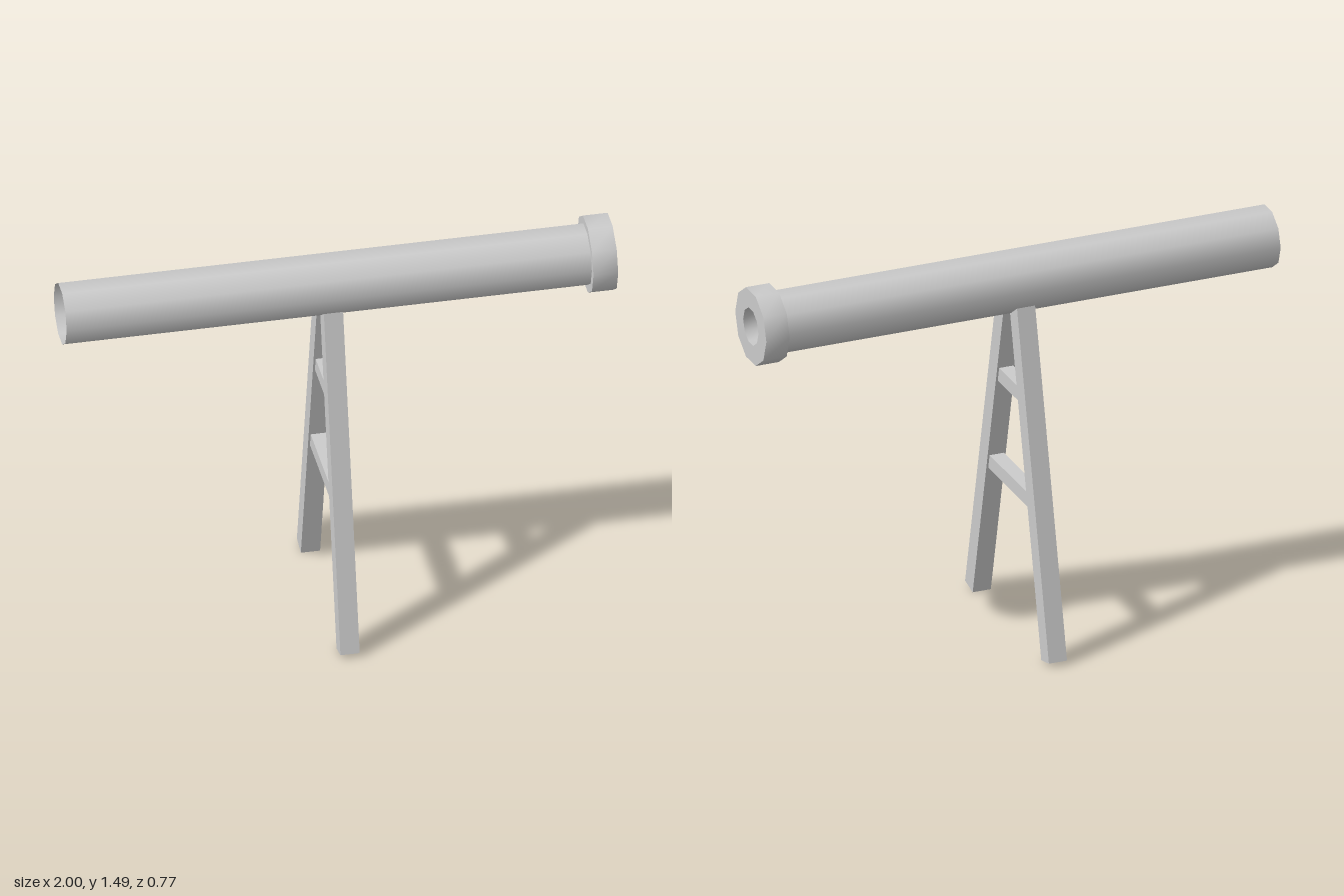
import * as THREE from 'three';
import { toCreasedNormals } from 'three/addons/utils/BufferGeometryUtils.js';

const SIDES = 10;
const AXIS_Y = 1.351;   // height of the tube axis
const STAND_X = -0.025; // centre of the stand

export function createModel() {
  const group = new THREE.Group();
  const solid = new THREE.MeshStandardMaterial({ color: 0xcccccc });
  const thin = new THREE.MeshStandardMaterial({ color: 0xcccccc, side: THREE.DoubleSide });

  const add = (name, geometry, material, x, y, z) => {
    const mesh = new THREE.Mesh(geometry, material);
    mesh.name = name;
    mesh.position.set(x, y, z);
    group.add(mesh);
    return mesh;
  };

  // Open, smooth-shaded tube lying along x
  const tube = new THREE.CylinderGeometry(0.114, 0.114, 1.91, SIDES, 1, true);
  add('tube', tube.rotateZ(-Math.PI / 2), thin, -0.045, AXIS_Y, 0);

  // Thick ring at the +x end, with a narrower hole
  const profile = [[0.07, 0.91], [0.143, 0.91], [0.143, 1], [0.07, 1], [0.07, 0.91]]
    .map(([r, h]) => new THREE.Vector2(r, h));
  const ring = toCreasedNormals(new THREE.LatheGeometry(profile, SIDES), 0.8);
  add('endRing', ring.rotateZ(-Math.PI / 2), solid, 0, AXIS_Y, 0);

  // Two legs leaning together, their tops reaching inside the tube
  const foot = new THREE.Vector2(0.35, 0.008), top = new THREE.Vector2(0.045, 1.328);
  const lean = Math.atan2(foot.x - top.x, top.y - foot.y);
  for (const side of [1, -1]) {
    const leg = add(side > 0 ? 'frontLeg' : 'backLeg',
      new THREE.BoxGeometry(0.07, foot.distanceTo(top), 0.072), solid,
      STAND_X, (foot.y + top.y) / 2, side * (foot.x + top.x) / 2);
    leg.rotation.x = -side * lean;
  }

  // Crossbars between the legs
  for (const [name, y, length] of [['lowerCrossbar', 0.567, 0.39], ['upperCrossbar', 0.946, 0.21]]) {
    add(name, new THREE.BoxGeometry(0.055, 0.054, length), solid, STAND_X, y, 0);
  }

  return group;
}
